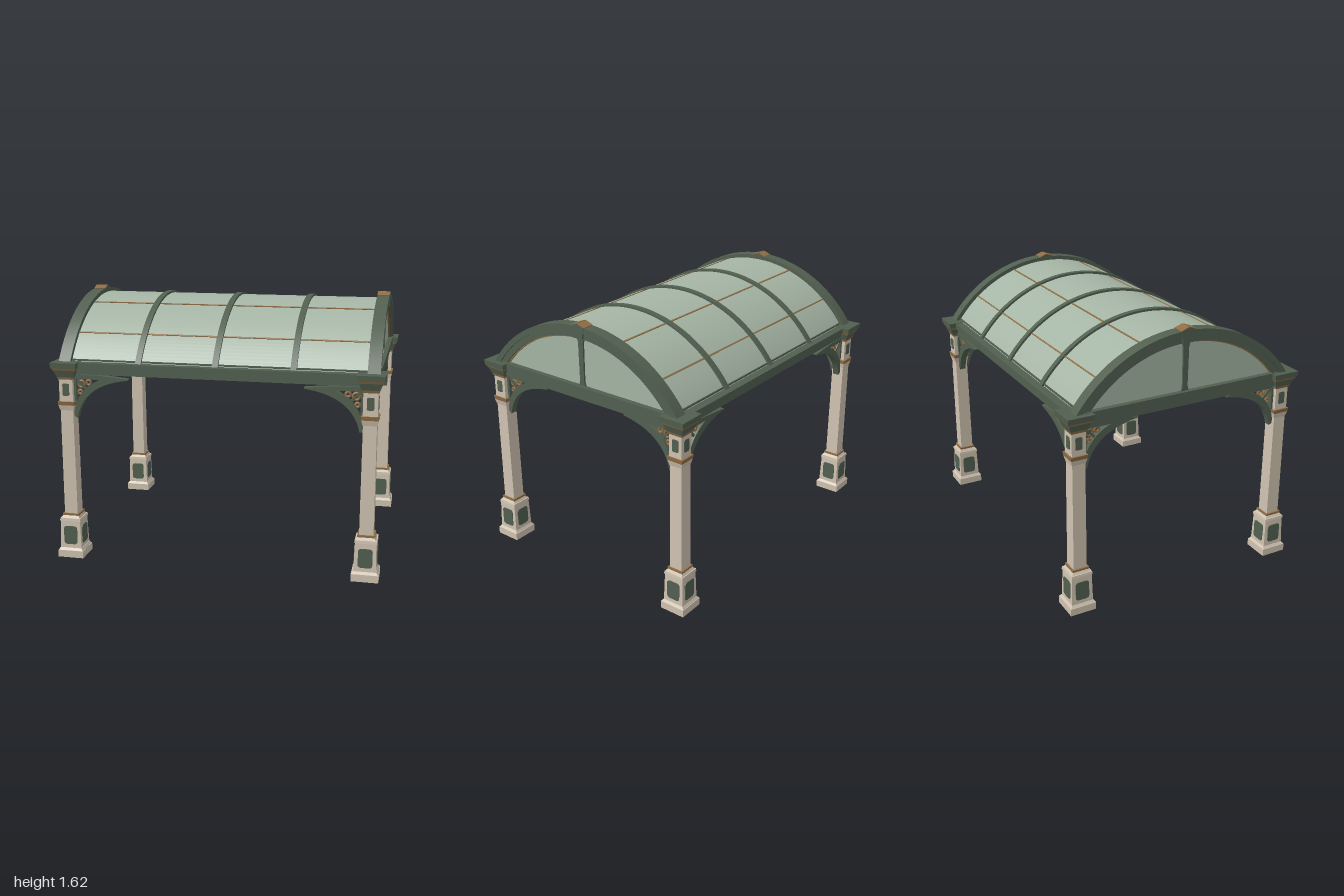
import * as THREE from 'three';
import { toCreasedNormals } from 'three/addons/utils/BufferGeometryUtils.js';

const material = (name, color, side = THREE.FrontSide) => {
  const m = new THREE.MeshStandardMaterial({ color, side });
  m.name = name;
  return m;
};
const CY = 0.758;          // centre height of the barrel vault
const EAVE = 1.235;        // height the vault springs from
const PX = 0.915, PZ = 0.683;

export function createModel() {
  const model = new THREE.Group();
  model.name = 'pavilion';
  const cream = material('cream stone', 0xd0c3b1);
  const green = material('dark green', 0x526050);
  const glass = material('pale green glass', 0xa5b5a5, THREE.DoubleSide);
  const bronze = material('bronze trim', 0x8f6d44);

  const add = (parent, name, geometry, mat, x = 0, y = 0, z = 0) => {
    const mesh = new THREE.Mesh(geometry, mat);
    mesh.name = name;
    mesh.position.set(x, y, z);
    parent.add(mesh);
    return mesh;
  };
  const box = (parent, name, mat, w, h, d, x, y, z) =>
    add(parent, name, new THREE.BoxGeometry(w, h, d), mat, x, y, z);

  // Square tier with bottom width w0 and top width w1
  const tier = (parent, name, mat, y0, y1, w0, w1 = w0) => {
    const g = new THREE.CylinderGeometry(w1 * Math.SQRT1_2, w0 * Math.SQRT1_2, y1 - y0, 4)
      .rotateY(Math.PI / 4).toNonIndexed();
    g.computeVertexNormals();
    return add(parent, name, g, mat, 0, (y0 + y1) / 2, 0);
  };

  const extrude = (shape, depth) => {
    const g = new THREE.ExtrudeGeometry(shape, { depth, bevelEnabled: false, curveSegments: 32 });
    g.translate(0, 0, -depth / 2);
    return toCreasedNormals(g, 0.5);
  };

  // Curved band following the vault, cut off level with the eaves
  const arcBand = (inner, outer, width) => {
    const a = Math.asin((EAVE - CY) / outer), b = Math.asin((EAVE - CY) / inner);
    const s = new THREE.Shape();
    s.absarc(0, CY, outer, a, Math.PI - a, false);
    s.absarc(0, CY, inner, Math.PI - b, b, true);
    s.closePath();
    return extrude(s, width).rotateY(Math.PI / 2);
  };

  // Plate with notched round corners
  const plate = (w, h) => {
    const x = w / 2, y = h / 2, r = w * 0.25;
    const s = new THREE.Shape();
    s.moveTo(-x + r, -y);
    s.lineTo(x - r, -y); s.quadraticCurveTo(x, -y, x, -y + r);
    s.lineTo(x, y - r); s.quadraticCurveTo(x, y, x - r, y);
    s.lineTo(-x + r, y); s.quadraticCurveTo(-x, y, -x, y - r);
    s.lineTo(-x, -y + r); s.quadraticCurveTo(-x, -y, -x + r, -y);
    return extrude(s, 0.006);
  };
  const panels = (parent, name, w, h, y, offset) => {
    for (let i = 0; i < 4; i++) {
      const a = i * Math.PI / 2;
      add(parent, name, plate(w, h), green, Math.sin(a) * offset, y, Math.cos(a) * offset).rotation.y = a;
    }
  };

  // Openwork bracket reaching along local +x from the column centre
  const bracketShape = new THREE.Shape();
  bracketShape.moveTo(0.03, 1.16);
  bracketShape.lineTo(0.03, 0.91);
  bracketShape.lineTo(0.06, 0.89);
  bracketShape.quadraticCurveTo(0.1, 1.1, 0.385, 1.135);
  bracketShape.lineTo(0.385, 1.142);
  bracketShape.lineTo(0.2, 1.158);
  const opening = new THREE.Path();
  opening.moveTo(0.058, 1.132);
  opening.lineTo(0.058, 0.99);
  opening.quadraticCurveTo(0.1, 1.09, 0.21, 1.132);
  opening.closePath();
  bracketShape.holes.push(opening);
  const bracketGeometry = extrude(bracketShape, 0.04);

  const bracket = (parent, angle) => {
    const g = new THREE.Group();
    g.name = 'bracket';
    g.rotation.y = angle;
    add(g, 'bracketFrame', bracketGeometry, green);
    for (const [x, y, r] of [[0.085, 1.1, 0.02], [0.132, 1.11, 0.014], [0.077, 1.05, 0.012]])
      add(g, 'bracketScroll', new THREE.TorusGeometry(r, 0.008, 6, 14), bronze, x, y, 0);
    const strut = box(g, 'bracketStrut', green, 0.085, 0.014, 0.025, 0.09, 1.095, 0);
    strut.rotation.z = -0.8;
    box(g, 'bracketFoot', bronze, 0.018, 0.035, 0.034, 0.052, 0.912, 0);
    parent.add(g);
  };

  // Four columns
  for (const sx of [-1, 1]) for (const sz of [-1, 1]) {
    const c = new THREE.Group();
    c.name = 'column';
    c.position.set(sx * PX, 0, sz * PZ);
    tier(c, 'plinth', cream, 0, 0.045, 0.163);
    tier(c, 'plinthSlope', cream, 0.045, 0.06, 0.158, 0.138);
    tier(c, 'pedestal', cream, 0.06, 0.235, 0.136, 0.126);
    tier(c, 'pedestalCornice', cream, 0.235, 0.252, 0.134, 0.13);
    tier(c, 'baseMoulding', cream, 0.252, 0.268, 0.118, 0.1);
    tier(c, 'baseTrim', bronze, 0.268, 0.28, 0.104);
    tier(c, 'shaft', cream, 0.28, 0.95, 0.084, 0.08);
    tier(c, 'neckMoulding', cream, 0.94, 0.972, 0.084, 0.1);
    tier(c, 'neckTrim', bronze, 0.972, 0.995, 0.1, 0.106);
    tier(c, 'capitalBlock', cream, 0.995, 1.14, 0.086);
    tier(c, 'capitalTrim', bronze, 1.132, 1.148, 0.094, 0.104);
    tier(c, 'capitalMoulding', green, 1.148, 1.19, 0.106, 0.135);
    tier(c, 'corniceTrim', bronze, 1.19, 1.203, 0.14, 0.15);
    tier(c, 'cornice', green, 1.203, 1.237, 0.158, 0.165);
    panels(c, 'pedestalPanel', 0.086, 0.118, 0.143, 0.066);
    panels(c, 'capitalPanel', 0.042, 0.075, 1.068, 0.043);
    bracket(c, sx > 0 ? Math.PI : 0);
    bracket(c, sz * Math.PI / 2);
    model.add(c);
  }

  // Eaves beams, front and back
  for (const s of [-1, 1]) {
    box(model, 'eavesBeam', green, 1.8, 0.04, 0.05, 0, 1.182, s * 0.677);
    box(model, 'eavesMoulding', green, 1.8, 0.036, 0.08, 0, 1.217, s * 0.681);
  }

  // Gable ends
  for (const s of [-1, 1]) {
    const g = new THREE.Group();
    g.name = 'gable';
    g.position.x = s * 0.927;
    box(g, 'gableBeam', green, 0.05, 0.05, 1.3, 0, 1.18, 0);
    box(g, 'gableBeamMoulding', green, 0.072, 0.036, 1.3, 0, 1.222, 0);
    add(g, 'archOuter', arcBand(0.812, 0.847, 0.074), green);
    add(g, 'archInner', arcBand(0.775, 0.814, 0.054), green);
    add(g, 'archBead', arcBand(0.768, 0.776, 0.03), bronze);
    const pane = new THREE.Shape();
    const a = Math.asin((EAVE - CY) / 0.79);
    pane.absarc(0, CY, 0.79, a, Math.PI - a, false);
    add(g, 'gableGlass', extrude(pane, 0.008).rotateY(Math.PI / 2), glass);
    // Mullion flared at both ends
    const m = new THREE.Shape();
    m.moveTo(-0.032, 1.235);
    m.lineTo(0.032, 1.235);
    m.quadraticCurveTo(0.017, 1.245, 0.016, 1.28);
    m.lineTo(0.018, 1.5);
    m.lineTo(0.028, 1.54);
    m.lineTo(-0.028, 1.54);
    m.lineTo(-0.018, 1.5);
    m.lineTo(-0.016, 1.28);
    m.quadraticCurveTo(-0.017, 1.245, -0.032, 1.235);
    add(g, 'mullion', extrude(m, 0.03).rotateY(Math.PI / 2), green);
    // Keystone at the crown
    const k = new THREE.Shape();
    k.moveTo(-0.035, 1.535);
    k.lineTo(0.035, 1.535);
    k.lineTo(0.05, 1.604);
    k.lineTo(0, 1.622);
    k.lineTo(-0.05, 1.604);
    add(g, 'keystone', extrude(k, 0.078).rotateY(Math.PI / 2), green);
    for (const t of [-1, 1])
      box(g, 'keystoneCap', bronze, 0.074, 0.006, 0.052, 0, 1.613, t * 0.026).rotation.x = t * 0.345;
    model.add(g);
  }

  // Glazed vault with ribs and purlins
  add(model, 'roofGlass', arcBand(0.816, 0.822, 1.81), glass);
  for (const x of [-0.47, 0, 0.465])
    add(model, 'roofRib', arcBand(0.798, 0.835, 0.036), green, x);
  for (const z of [-0.525, -0.25, 0.25, 0.525]) {
    const y = CY + Math.sqrt(0.819 ** 2 - z ** 2);
    box(model, 'purlin', bronze, 1.8, 0.014, 0.009, 0, y, z).rotation.x = Math.asin(z / 0.819);
  }
  for (const s of [-1, 1])
    box(model, 'eavesSill', green, 1.8, 0.016, 0.025, 0, 1.24, s * 0.655);

  return model;
}
